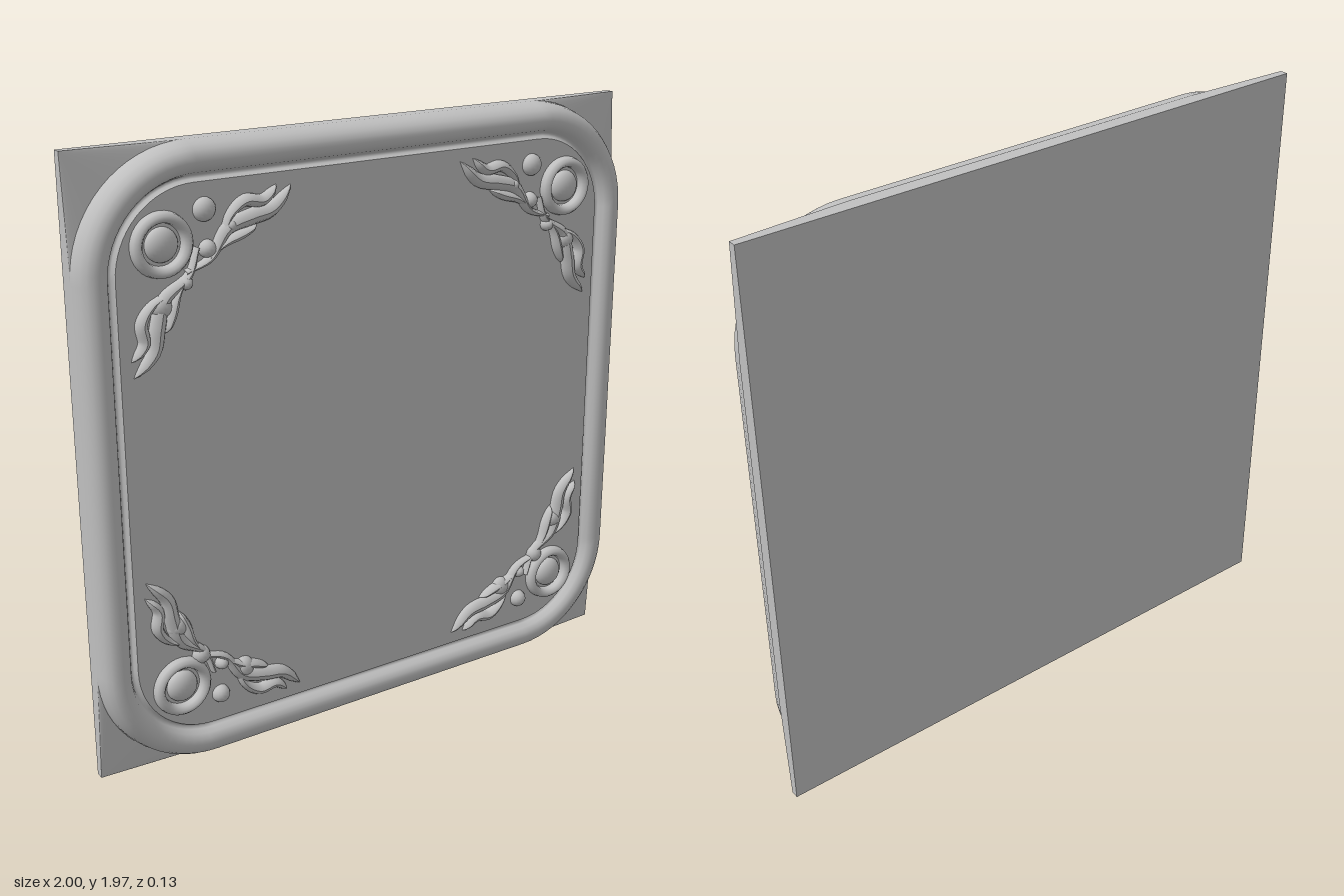
import * as THREE from 'three';

const HALF_W = 1, HALF_H = 0.985, RADIUS = 0.37, PANEL_Z = 0.03;

// Counter-clockwise rounded rectangle, set in by `inset`
function outline(inset, z, radius = RADIUS - inset) {
  const w = HALF_W - inset, h = HALF_H - inset, steps = 16, pts = [];
  for (let q = 0; q < 4; q++) {
    const sx = q === 0 || q === 3 ? 1 : -1, sy = q < 2 ? 1 : -1;
    for (let i = 0; i <= steps; i++) {
      const a = (q + i / steps) * Math.PI / 2;
      pts.push(new THREE.Vector3(sx * (w - radius) + radius * Math.cos(a),
        HALF_H + sy * (h - radius) + radius * Math.sin(a), z));
    }
  }
  return pts;
}

// Skin between closed rings running from outside to inside
function loft(rings) {
  const n = rings[0].length, index = [];
  for (let r = 0; r < rings.length - 1; r++) {
    for (let j = 0; j < n; j++) {
      const k = (j + 1) % n;
      const a = r * n + j, b = r * n + k, c = a + n, d = b + n;
      index.push(a, b, c, b, d, c);
    }
  }
  const g = new THREE.BufferGeometry().setFromPoints(rings.flat());
  g.setIndex(index);
  g.computeVertexNormals();
  return g;
}

// Tapered, flattened tube for a scroll leaf
function leafGeometry(points, width, depth) {
  const seg = 28, radial = 10;
  const path = new THREE.CatmullRomCurve3(points);
  const g = new THREE.TubeGeometry(path, seg, 1, radial, false);
  const pos = g.attributes.position, v = new THREE.Vector3();
  for (let i = 0; i < pos.count; i++) {
    const t = Math.floor(i / (radial + 1)) / seg;
    const c = path.getPointAt(t);
    const swell = 0.3 + 0.7 * Math.sin(Math.PI * Math.pow(t, 1.5));
    const end = Math.min(1, Math.sqrt(Math.max(0, 1 - t) * 10));
    v.fromBufferAttribute(pos, i).sub(c);
    v.x *= width * swell * end;
    v.y *= width * swell * end;
    v.z *= depth * (0.6 + 0.4 * swell) * end;
    v.add(c);
    pos.setXYZ(i, v.x, v.y, v.z);
  }
  g.computeVertexNormals();
  return g;
}

export function createModel() {
  const model = new THREE.Group();
  const stone = new THREE.MeshStandardMaterial({ color: 0xc0c0c0 });
  stone.name = 'grey stone';
  const add = (name, geometry, parent = model) => {
    const m = new THREE.Mesh(geometry, stone);
    m.name = name;
    parent.add(m);
    return m;
  };

  // Square backing plate
  add('backPlate', new THREE.BoxGeometry(2, 2 * HALF_H, 0.027))
    .position.set(0, HALF_H, -0.0515);

  // Sloped corners between plate and frame
  add('cornerFill', loft([outline(0, -0.038, 0.002), outline(0, -0.018)]));

  // Rounded moulding with a groove inside it
  const profile = [[0, -0.03], [0.003, 0], [0.01, 0.025], [0.022, 0.044], [0.038, 0.055],
    [0.055, 0.058], [0.072, 0.054], [0.086, 0.042], [0.095, 0.022], [0.1, 0.014],
    [0.108, 0.016], [0.115, PANEL_Z]];
  add('frameMoulding', loft(profile.map(([d, z]) => outline(d, z))));

  // Flat field inside the moulding
  const field = outline(0.115, 0).map(p => new THREE.Vector2(p.x, p.y));
  add('panel', new THREE.ShapeGeometry(new THREE.Shape(field))).position.z = PANEL_Z;

  // Leaves as [distance from side, distance from top or bottom], width
  const leaves = [
    [[[0.33, 0.37], [0.41, 0.34], [0.47, 0.26], [0.55, 0.235], [0.62, 0.22], [0.69, 0.155]], 0.026],
    [[[0.45, 0.29], [0.48, 0.22], [0.53, 0.185], [0.59, 0.19], [0.64, 0.15]], 0.02],
    [[[0.40, 0.34], [0.46, 0.30], [0.52, 0.28], [0.57, 0.26]], 0.016],
  ];
  const beads = {
    top: [[0.40, 0.195, 0.036], [0.405, 0.31, 0.027], [0.25, 0.46, 0.034], [0.48, 0.25, 0.02], [0.33, 0.40, 0.022]],
    bottom: [[0.395, 0.21, 0.03], [0.48, 0.28, 0.036], [0.33, 0.37, 0.03], [0.25, 0.49, 0.034], [0.40, 0.32, 0.022]],
  };

  for (const sx of [-1, 1]) {
    for (const sy of [-1, 1]) {
      const corner = new THREE.Group();
      corner.name = (sy > 0 ? 'top' : 'bottom') + (sx > 0 ? 'Left' : 'Right') + 'Ornament';
      model.add(corner);
      const at = (u, v, z = PANEL_Z) =>
        new THREE.Vector3(sx * (1 - u), HALF_H + sy * (HALF_H - v), z);

      // Rosette: ring and domed centre
      const centre = at(0.26, 0.28);
      const ring = add('rosetteRing', new THREE.TorusGeometry(0.08, 0.018, 10, 36), corner);
      ring.position.copy(centre);
      ring.scale.z = 1.7;
      const boss = add('rosetteBoss', new THREE.SphereGeometry(0.052, 24, 14), corner);
      boss.position.copy(centre);
      boss.scale.z = 0.65;

      // Scroll leaves, repeated across the corner diagonal
      for (const [pts, width] of leaves) {
        for (const swap of [false, true]) {
          const path = pts.map(([u, v]) => swap ? at(v, u - 0.03) : at(u, v));
          add('scrollLeaf', leafGeometry(path, width, 0.03), corner);
        }
      }

      // Berries beside the stems
      for (const [u, v, r] of beads[sy > 0 ? 'top' : 'bottom']) {
        const berry = add('berry', new THREE.SphereGeometry(r, 16, 10), corner);
        berry.position.copy(at(u, v));
        berry.scale.z = 0.032 / r;
      }
    }
  }
  return model;
}
